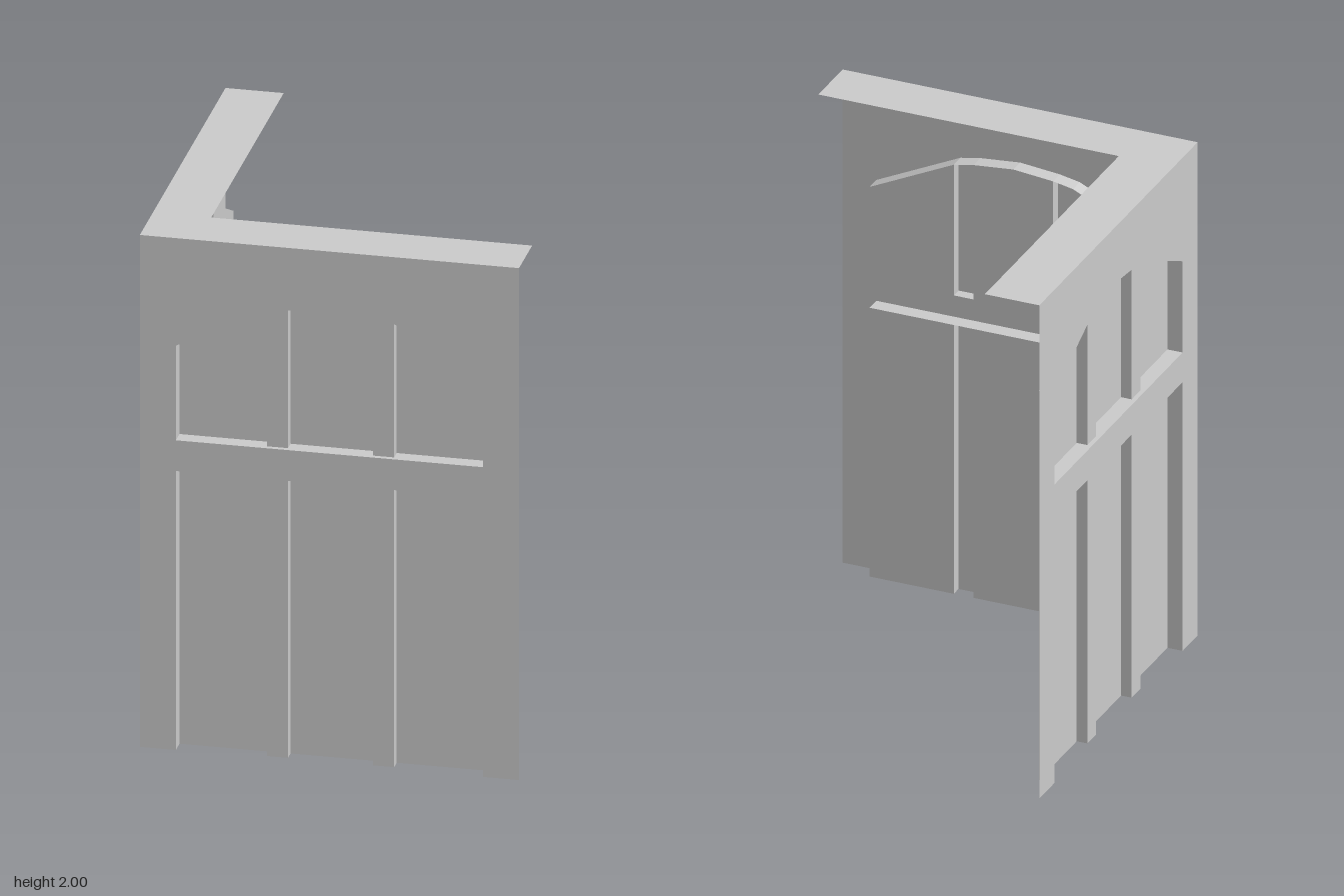
import * as THREE from 'three';

const material = new THREE.MeshStandardMaterial({ color: 0xcccccc, side: THREE.DoubleSide, flatShading: true });

const OUT = 0.7;      // outer wall face
const PANEL = 0.64;   // recessed panel face
const POST = 0.682;   // mullion face
const HALF = 0.567;   // half width of the openings
const ARCH = [[-HALF, 1.58], [-0.235, 1.74], [-0.157, 1.755], [0, 1.77], [0.157, 1.755], [0.235, 1.74], [HALF, 1.58]];

const toVectors = (points) => points.map(([x, y]) => new THREE.Vector2(x, y));

function add(group, name, geometry) {
  const mesh = new THREE.Mesh(geometry, material);
  mesh.name = name;
  group.add(mesh);
  return mesh;
}

// Flat sheet at depth z
function sheet(points, z, holes = []) {
  const shape = new THREE.Shape(toVectors(points));
  holes.forEach((hole) => shape.holes.push(new THREE.Path(toVectors(hole))));
  return new THREE.ShapeGeometry(shape).translate(0, 0, z);
}

// Strip following a path in xy, spanning depths z0 to z1
function ribbon(points, z0, z1) {
  const positions = [];
  for (let i = 0; i < points.length - 1; i++) {
    const [ax, ay] = points[i];
    const [bx, by] = points[i + 1];
    positions.push(ax, ay, z0, bx, by, z0, bx, by, z1, ax, ay, z0, bx, by, z1, ax, ay, z1);
  }
  const geometry = new THREE.BufferGeometry();
  geometry.setAttribute('position', new THREE.Float32BufferAttribute(positions, 3));
  geometry.computeVertexNormals();
  return geometry;
}

// Outline of the part of an opening between x0 and x1
function bay(x0, x1, bottom, top) {
  const upper = top.filter(([x]) => x >= x0 && x <= x1);
  return [[x1, bottom], ...upper.reverse(), [x0, bottom]];
}

function createWall() {
  const wall = new THREE.Group();
  const lowerTop = ARCH.map(([x]) => [x, 1.09]);
  const upperOpening = [[-HALF, 1.21], ...ARCH, [HALF, 1.21]];
  const lowerOpening = [[-HALF, 0], [-HALF, 1.09], [HALF, 1.09], [HALF, 0]];

  // Face frame with the arched opening and the open-bottomed one
  add(wall, 'frame', sheet(
    [[-OUT, 0], ...lowerOpening, [OUT, 0], [OUT, 2], [-OUT, 2]], OUT, [upperOpening]));

  // Edges leading back to the panels
  add(wall, 'upperReveal', ribbon([...upperOpening, upperOpening[0]], PANEL, OUT));
  add(wall, 'lowerReveal', ribbon(lowerOpening, PANEL, OUT));

  for (const [row, bottom, top] of [['upper', 1.21, ARCH], ['lower', 0, lowerTop]]) {
    // Three panels
    for (const [x0, x1] of [[-HALF, -0.235], [-0.157, 0.157], [0.235, HALF]]) {
      add(wall, row + 'Panel', sheet(bay(x0, x1, bottom, top), PANEL));
    }
    // Two hollow mullions, open at the back
    for (const [x0, x1] of [[-0.235, -0.157], [0.157, 0.235]]) {
      const outline = bay(x0, x1, bottom, top);
      add(wall, row + 'Mullion', sheet(outline, POST));
      add(wall, row + 'MullionSide', ribbon([outline[0], outline[1]], PANEL, POST));
      add(wall, row + 'MullionSide', ribbon([outline[2], outline[3]], PANEL, POST));
    }
  }
  return wall;
}

export function createModel() {
  const model = new THREE.Group();
  model.name = 'cornerWall';

  const front = createWall();
  front.name = 'frontWall';
  const side = createWall();
  side.name = 'sideWall';
  side.rotation.y = -Math.PI / 2;
  model.add(front, side);

  // L-shaped top, drawn in x and -z and laid flat
  const inner = 0.485;
  const cap = sheet([[-OUT, -OUT], [OUT, -OUT], [OUT, -inner], [-inner, -inner], [-inner, OUT], [-OUT, OUT]], 0);
  cap.rotateX(-Math.PI / 2).translate(0, 2, 0);
  add(model, 'topCap', cap);
  return model;
}
